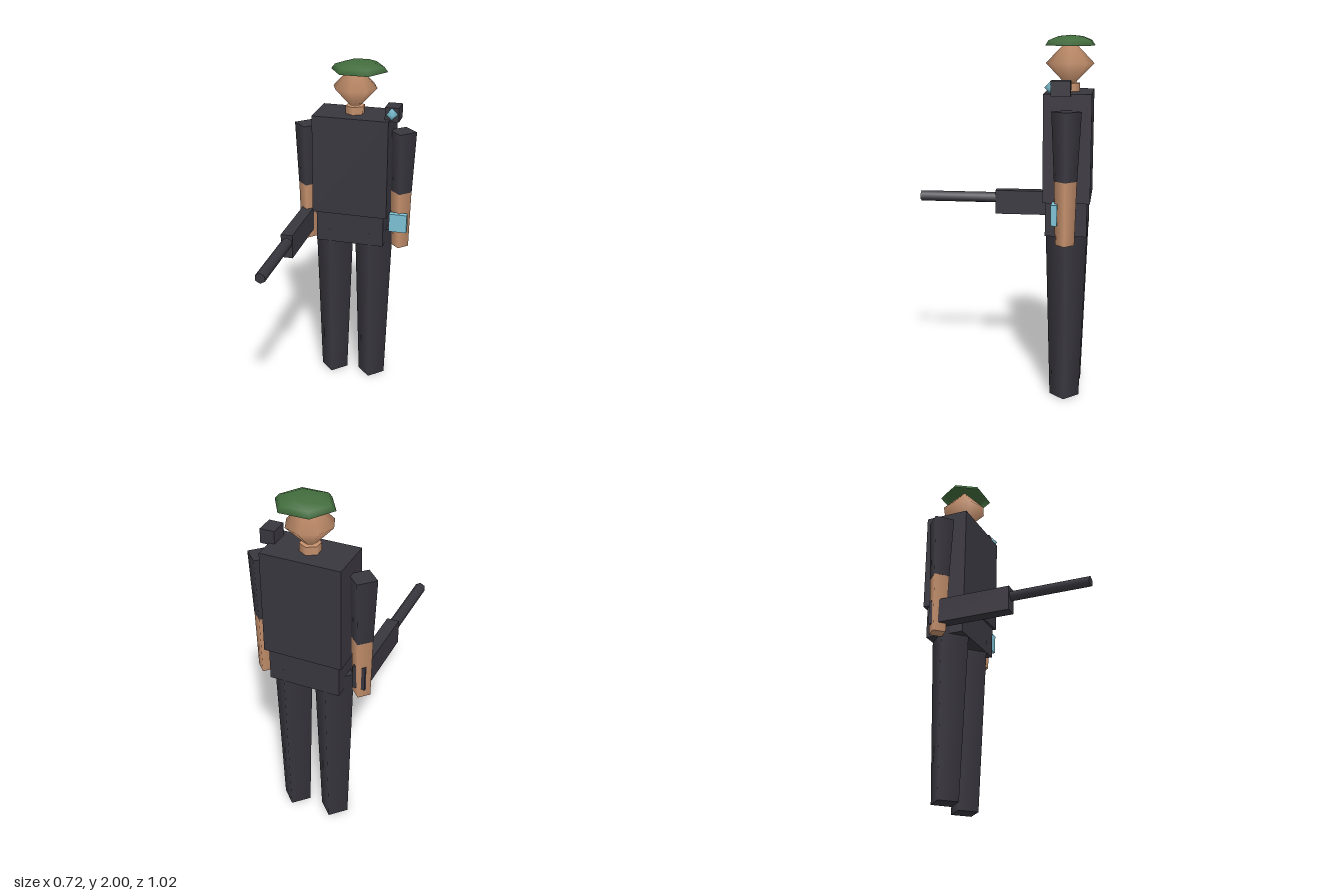
import * as THREE from 'three';

const flat = (name, color, extra = {}) => {
  const m = new THREE.MeshStandardMaterial({ color, ...extra });
  m.name = name;
  return m;
};

export function createModel() {
  const model = new THREE.Group();
  model.name = 'soldier';
  const cloth = flat('charcoal', 0x39373f);
  const skin = flat('skin', 0xc6916d);
  const green = flat('beretGreen', 0x436d3e, { side: THREE.DoubleSide });
  const blue = flat('lightBlue', 0x7dc2d5);
  const Z = -0.38; // depth of the body's centre line

  const add = (name, geometry, material, x, y, z) => {
    const mesh = new THREE.Mesh(geometry, material);
    mesh.name = name;
    mesh.position.set(x, y, z);
    model.add(mesh);
    return mesh;
  };
  // box given by its lower and upper corners
  const box = (name, material, [x0, y0, z0], [x1, y1, z1]) =>
    add(name, new THREE.BoxGeometry(x1 - x0, y1 - y0, z1 - z0), material,
      (x0 + x1) / 2, (y0 + y1) / 2, (z0 + z1) / 2);
  // upright tapered prism between two heights
  const limb = (name, material, x, y0, y1, r0, r1, sides = 4) =>
    add(name, new THREE.CylinderGeometry(r1, r0, y1 - y0, sides), material, x, (y0 + y1) / 2, Z);

  // trunk
  box('torso', cloth, [-0.22, 1.12, -0.508], [0.22, 1.7, -0.254]);
  box('hips', cloth, [-0.2, 0.935, -0.492], [0.2, 1.12, -0.268]);

  // limbs: four-sided with a corner to the front
  for (const [side, s] of [['left', 1], ['right', -1]]) {
    limb(side + 'Leg', cloth, s * 0.12, 0, 1.01, 0.082, 0.115);
    limb(side + 'Sleeve', cloth, s * 0.28, 1.25, 1.615, 0.061, 0.079);
    limb(side + 'Forearm', skin, s * 0.28, 0.907, 1.25, 0.051, 0.06);
  }

  // neck, head and beret
  limb('neck', skin, 0, 1.69, 1.745, 0.056, 0.056, 6);
  add('head', new THREE.SphereGeometry(1, 8, 2), skin, 0, 1.85, Z).scale.set(0.127, 0.136, 0.131);
  add('beret', new THREE.SphereGeometry(1, 6, 3, 0, Math.PI * 2, 0, Math.PI / 2), green,
    0.022, 1.945, Z - 0.002).scale.set(0.163, 0.055, 0.15);

  // shoulder unit with lens
  box('shoulderUnit', cloth, [0.19, 1.69, -0.398], [0.27, 1.77, -0.295]);
  add('lens', new THREE.SphereGeometry(0.035, 5, 2), blue, 0.23, 1.735, -0.294).rotation.y = Math.PI;

  // wrist display
  box('wristDisplay', blue, [0.226, 1.02, -0.34], [0.33, 1.13, -0.307]);

  // gun in the right hand
  box('gunBody', cloth, [-0.314, 0.957, -0.42], [-0.246, 1.097, 0.06]);
  add('gunBarrel', new THREE.CylinderGeometry(0.031, 0.031, 0.46, 6), cloth, -0.278, 1.05, 0.28)
    .rotation.x = Math.PI / 2;

  return model;
}
